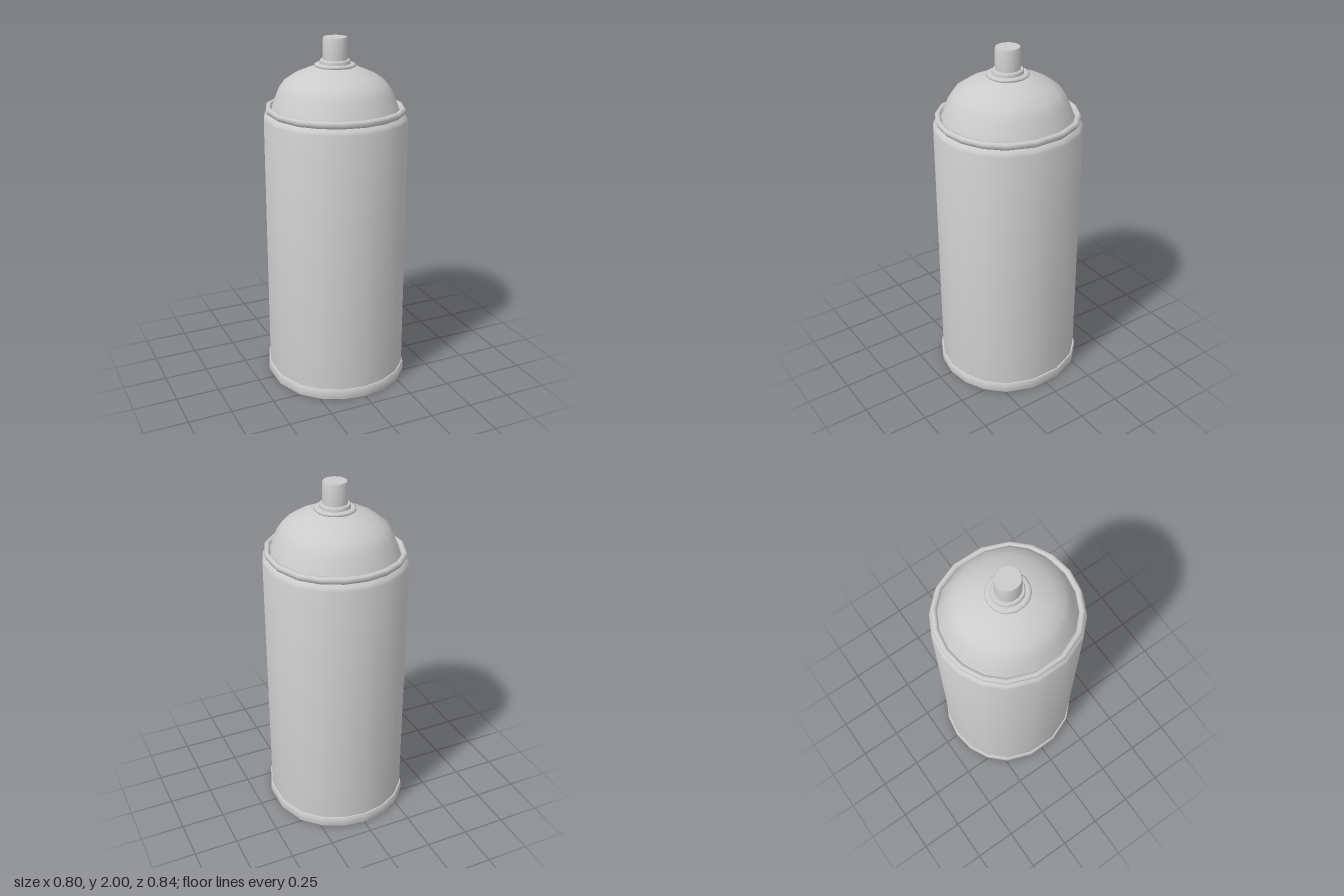
import * as THREE from 'three';
import { toCreasedNormals } from 'three/addons/utils/BufferGeometryUtils.js';

const SIDES = 18;
// Uneven facets of a quarter turn, measured from the z axis: [degrees, radius factor]
const QUARTER = [[0, 1], [18, 1], [36, 1], [54, 0.996], [77.2, 0.973]];

// Turns a profile of [radius, y] points, then moves each column to its facet angle
function turned(name, profile, crease = 0.7) {
  const geo = new THREE.LatheGeometry(profile.map(([r, y]) => new THREE.Vector2(r, y)), SIDES);
  const pos = geo.attributes.position;
  for (let i = 0; i < pos.count; i++) {
    const x = pos.getX(i), z = pos.getZ(i), r = Math.hypot(x, z);
    const step = Math.round(Math.atan2(Math.abs(x), Math.abs(z)) / (2 * Math.PI / SIDES));
    const [deg, k] = QUARTER[Math.min(step, 4)];
    const a = THREE.MathUtils.degToRad(deg);
    pos.setX(i, Math.sign(x) * r * k * Math.sin(a));
    pos.setZ(i, Math.sign(z) * r * k * Math.cos(a));
  }
  const material = new THREE.MeshStandardMaterial({ color: 0xcccccc, side: THREE.DoubleSide });
  const mesh = new THREE.Mesh(toCreasedNormals(geo, crease), material);
  mesh.name = name;
  return mesh;
}

export function createModel() {
  const can = new THREE.Group();
  can.name = 'sprayCan';
  can.add(
    // Flat bottom with its seam band
    turned('baseRim', [[0, 0], [0.418, 0], [0.42, 0.01], [0.42, 0.055], [0.417, 0.06], [0.408, 0.06]]),
    // Cylinder with a rounded shoulder
    turned('body', [[0.41, 0.05], [0.41, 1.555], [0.403, 1.573], [0.385, 1.588]], 1),
    // Rolled lip around the dome
    turned('topRim', [[0.383, 1.585], [0.39, 1.59], [0.398, 1.608], [0.394, 1.62], [0.384, 1.626],
      [0.372, 1.624], [0.365, 1.612], [0.362, 1.59]], 1.2),
    turned('dome', [[0.372, 1.59], [0.356, 1.625], [0.323, 1.71], [0.288, 1.757], [0.232, 1.795],
      [0.17, 1.822], [0.108, 1.842], [0.06, 1.848]], 1),
    // Two stepped rings around the valve
    turned('valveCollar', [[0.108, 1.838], [0.117, 1.845], [0.115, 1.854], [0.104, 1.859], [0.085, 1.857]], 1.2),
    turned('valveRing', [[0.086, 1.852], [0.086, 1.873], [0.081, 1.879], [0.066, 1.879]]),
    turned('nozzle', [[0.069, 1.86], [0.069, 1.99], [0.065, 2], [0, 2]])
  );
  return can;
}
